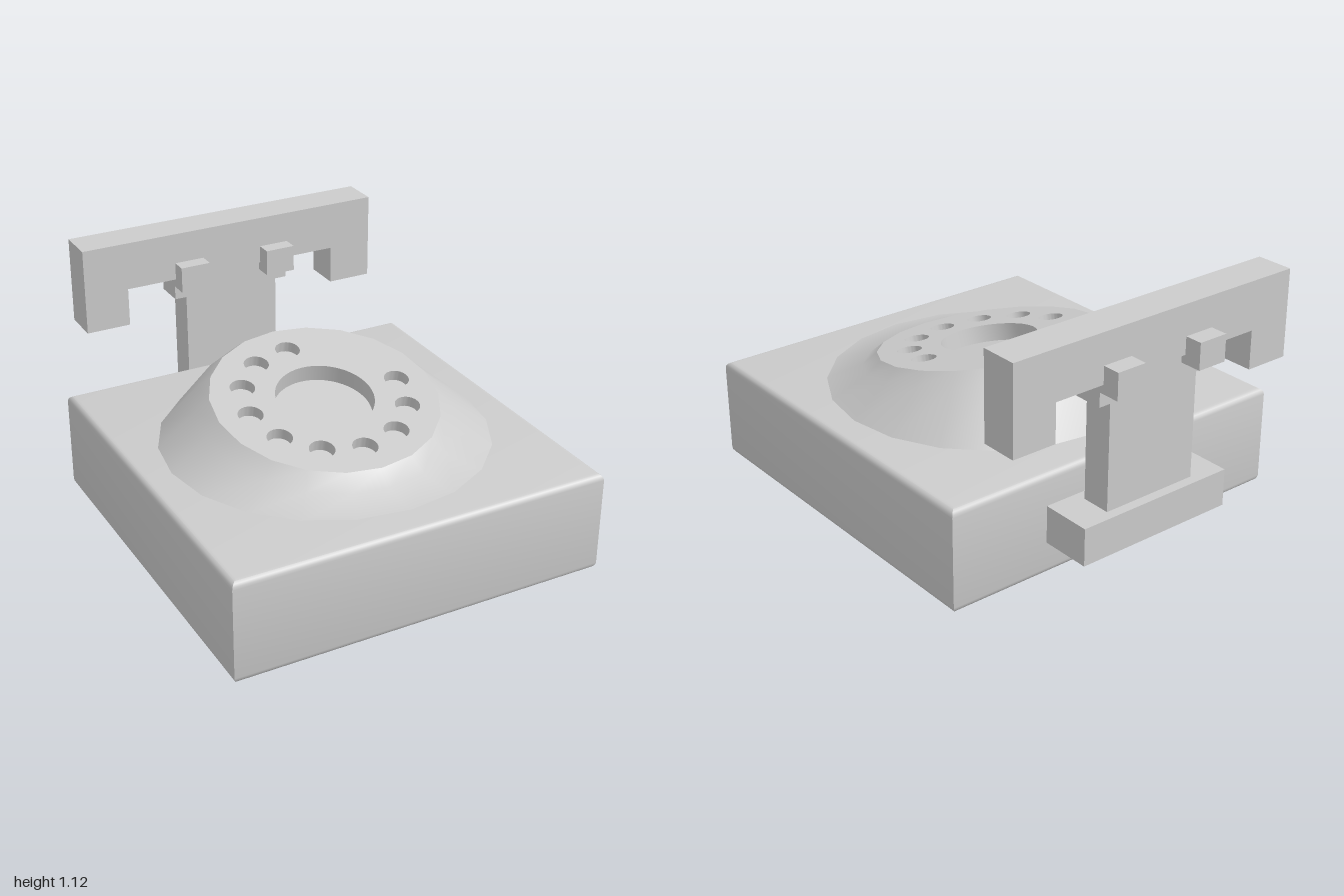
import * as THREE from 'three';
import { toCreasedNormals } from 'three/addons/utils/BufferGeometryUtils.js';

const SIDES = 20;
const DIAL_Z = 0.15;
const TILT = 0.206; // forward slope of the dial, radians

export function createModel() {
  const root = new THREE.Group();
  const mat = new THREE.MeshStandardMaterial({ color: 0xcccccc });

  const add = (name, geometry, parent = root) => {
    const mesh = new THREE.Mesh(geometry, mat);
    mesh.name = name;
    parent.add(mesh);
    return mesh;
  };
  // box given by its limits on each axis
  const box = (name, x0, x1, y0, y1, z0, z1, parent) => {
    const mesh = add(name, new THREE.BoxGeometry(x1 - x0, y1 - y0, z1 - z0), parent);
    mesh.position.set((x0 + x1) / 2, (y0 + y1) / 2, (z0 + z1) / 2);
    return mesh;
  };

  // body: slab with rounded top and bottom rims and sharp upright corners
  const r = 0.03, hx = 0.855 - r, hz = 0.8575 - r, height = 0.465;
  const slab = new THREE.Shape([
    new THREE.Vector2(-hx, -hz), new THREE.Vector2(hx, -hz),
    new THREE.Vector2(hx, hz), new THREE.Vector2(-hx, hz),
  ]);
  const slabGeo = new THREE.ExtrudeGeometry(slab, {
    depth: height - 2 * r, bevelThickness: r, bevelSize: r, bevelSegments: 4,
  });
  slabGeo.rotateX(-Math.PI / 2);
  slabGeo.translate(0, r, 0.1425);
  add('body', toCreasedNormals(slabGeo, 0.6));

  // dial mound: flat foot ring, tilted shoulder ring, tilted rim
  const rings = [
    { rx: 0.725, rz: 0.725, y: 0.463, slope: 0 },
    { rx: 0.56, rz: 0.56, y: 0.59, slope: 0.186 },
    { rx: 0.5, rz: 0.5 * Math.cos(TILT), y: 0.648, slope: Math.tan(TILT) },
  ];
  const pos = [], index = [];
  rings.forEach((ring, k) => {
    for (let i = 0; i < SIDES; i++) {
      const a = (i / SIDES) * Math.PI * 2;
      const dz = Math.cos(a) * ring.rz;
      pos.push(Math.sin(a) * ring.rx, ring.y - ring.slope * dz, DIAL_Z + dz);
      if (k === 0) continue;
      const j = (i + 1) % SIDES, lo = (k - 1) * SIDES, hi = k * SIDES;
      index.push(lo + i, lo + j, hi + j, lo + i, hi + j, hi + i);
    }
  });
  const mound = new THREE.BufferGeometry();
  mound.setAttribute('position', new THREE.Float32BufferAttribute(pos, 3));
  mound.setIndex(index);
  add('dialMound', toCreasedNormals(mound, 0.75));

  // dial face with a central well and ten finger holes
  const dial = new THREE.Group();
  dial.name = 'dial';
  dial.position.set(0, 0.648, DIAL_Z);
  dial.rotation.x = -Math.PI / 2 + TILT;
  root.add(dial);

  const face = new THREE.Shape();
  for (let i = 0; i < SIDES; i++) {
    const a = (i / SIDES) * Math.PI * 2;
    face[i ? 'lineTo' : 'moveTo'](Math.cos(a) * 0.5, Math.sin(a) * 0.5);
  }
  const cutHole = (x, y, radius, depth, name) => {
    face.holes.push(new THREE.Path().absarc(x, y, radius, 0, Math.PI * 2, true));
    const floor = add(name, new THREE.CircleGeometry(radius + 0.002, 24), dial);
    floor.position.set(x, y, -depth);
  };
  cutHole(0, 0, 0.215, 0.078, 'wellFloor');
  for (let i = 0; i < 10; i++) {
    const a = Math.PI / 2 + (i * Math.PI) / 6;
    cutHole(Math.cos(a) * 0.355, Math.sin(a) * 0.355, 0.055, 0.05, 'fingerHoleFloor');
  }
  const faceGeo = new THREE.ExtrudeGeometry(face, {
    depth: 0.08, bevelEnabled: false, curveSegments: 24,
  });
  faceGeo.translate(0, 0, -0.08);
  add('dialFace', toCreasedNormals(faceGeo, 0.5), dial);

  // cradle standing behind the body
  const cradle = new THREE.Group();
  cradle.name = 'cradle';
  root.add(cradle);
  box('cradleFoot', -0.385, 0.385, 0.15, 0.32, -0.945, -0.71, cradle);
  box('cradlePost', -0.23, 0.23, 0.31, 0.81, -0.9, -0.765, cradle);
  box('cradleCrossbar', -0.285, 0.285, 0.8, 0.91, -0.9, -0.765, cradle);
  for (const s of [-1, 1]) {
    box('cradleProng', s * 0.215 - 0.07, s * 0.215 + 0.07, 0.865, 0.985, -1, -0.68, cradle);
  }

  // handset: bar with an ear and mouth piece hanging at the ends
  const outline = [
    [-0.725, 0.73], [-0.52, 0.73], [-0.52, 0.905], [0.52, 0.905],
    [0.52, 0.73], [0.725, 0.73], [0.725, 1.125], [-0.725, 1.125],
  ].map(([x, y]) => new THREE.Vector2(x, y));
  const handset = new THREE.ExtrudeGeometry(new THREE.Shape(outline), {
    depth: 0.17, bevelEnabled: false,
  });
  handset.translate(0, 0, -0.92);
  add('handset', handset);

  return root;
}
